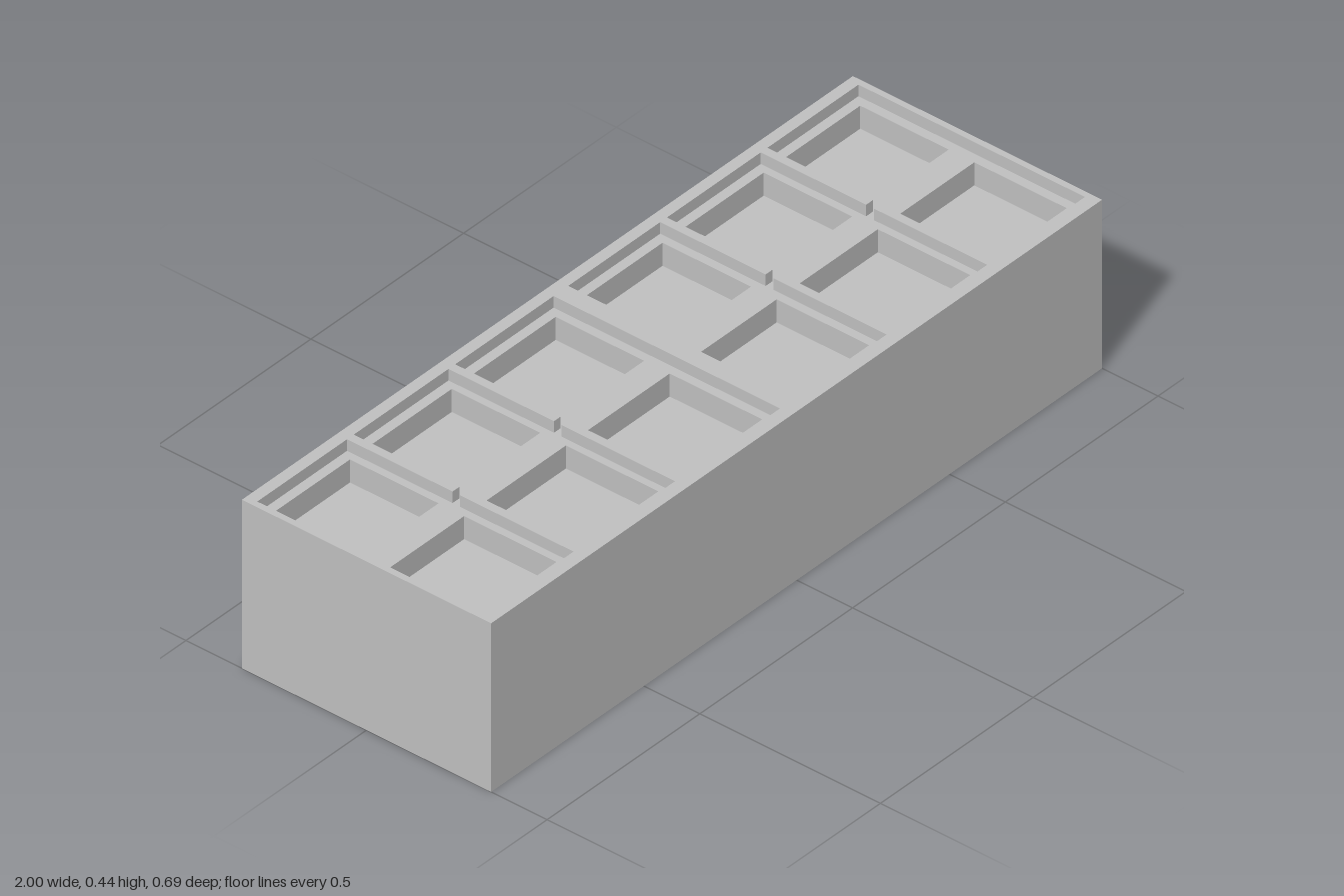
import * as THREE from 'three';

const W = 1, D = 0.345;                 // half width and half depth
const FLOOR = 0.35, DECK = 0.41, TOP = 0.44;

// Rectangles are given as [x0, x1, z0, z1]
function outline(Type, [x0, x1, z0, z1]) {
  const p = new Type();
  p.moveTo(x0, -z0);
  p.lineTo(x0, -z1);
  p.lineTo(x1, -z1);
  p.lineTo(x1, -z0);
  p.closePath();
  return p;
}

// Horizontal slab between two heights, with rectangular openings
function slab(name, rect, y0, y1, material, holes = []) {
  const shape = outline(THREE.Shape, rect);
  shape.holes = holes.map((h) => outline(THREE.Path, h));
  const geo = new THREE.ExtrudeGeometry(shape, { depth: y1 - y0, bevelEnabled: false });
  geo.rotateX(-Math.PI / 2);
  geo.translate(0, y0, 0);
  const mesh = new THREE.Mesh(geo, material);
  mesh.name = name;
  return mesh;
}

export function createModel() {
  const group = new THREE.Group();
  group.name = 'compartmentTray';
  const grey = new THREE.MeshStandardMaterial({ color: 0xc0c0c0 });
  grey.name = 'grey';

  const outer = [-W, W, -D, D];
  const columns = [[-0.96, -0.71], [-0.647, -0.377], [-0.316, -0.037],
    [0.061, 0.313], [0.38, 0.644], [0.709, 0.96]];
  const rows = [[-0.291, -0.046], [0.025, 0.281]];
  const pockets = columns.flatMap((c) => rows.map((r) => [...c, ...r]));

  // Solid body, deck with twelve pockets, and rim with a central crossbar
  group.add(slab('body', outer, 0, FLOOR, grey));
  group.add(slab('pocketDeck', outer, FLOOR, DECK, grey, pockets));
  group.add(slab('rimAndCrossbar', outer, DECK, TOP, grey, [
    [-0.984, -0.014, -0.316, 0.311],
    [0.034, 0.984, -0.316, 0.311],
  ]));

  // Thin ridges between neighbouring pockets, parted along the middle
  for (const x of [-0.679, -0.347, 0.346, 0.675]) {
    for (const [z0, z1] of [[-0.316, -0.024], [-0.003, 0.311]]) {
      group.add(slab('pocketDivider', [x - 0.011, x + 0.011, z0, z1], DECK, TOP, grey));
    }
  }
  return group;
}
